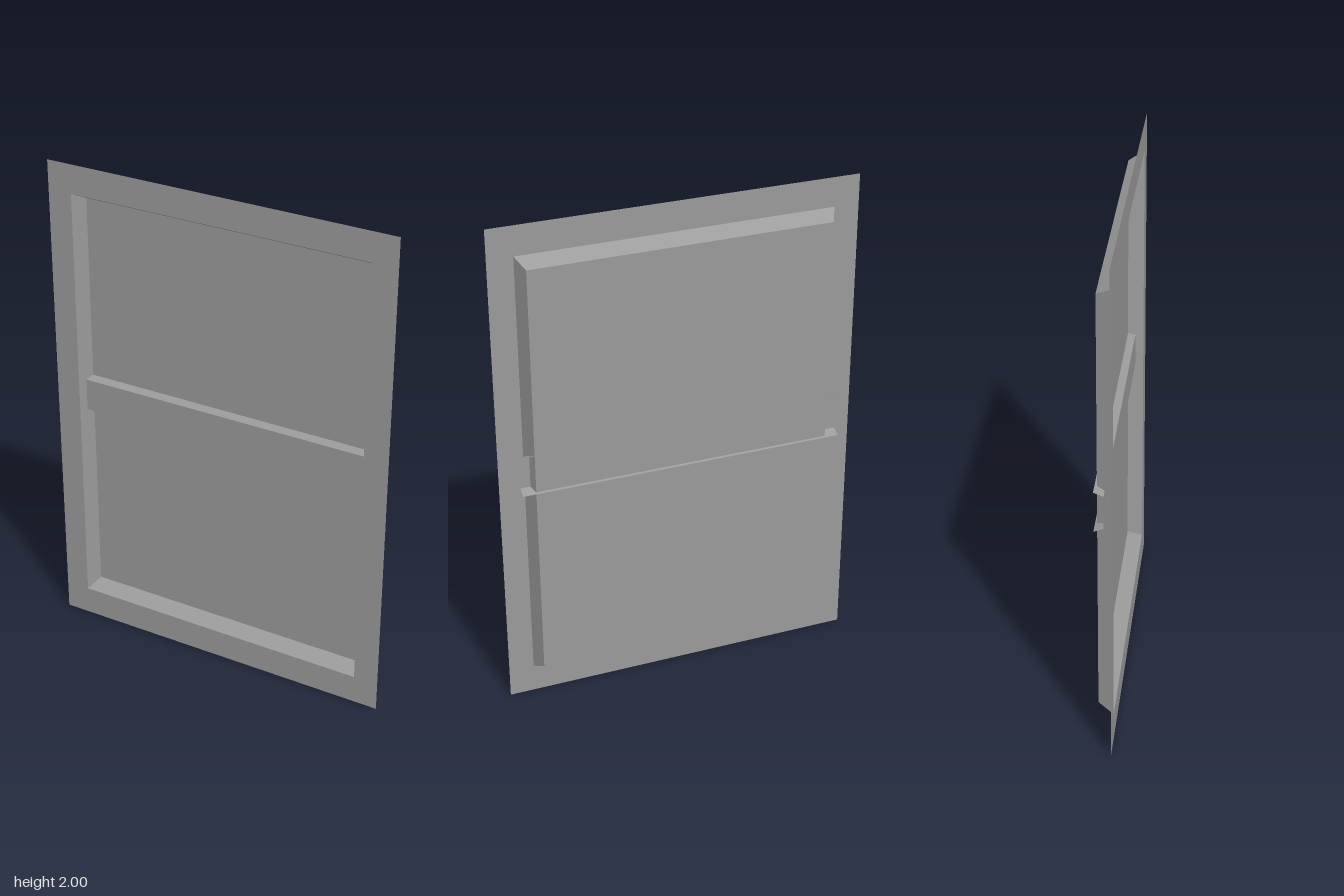
import * as THREE from 'three';

const Z_FRONT = 0.034, Z_PANEL = -0.026, Z_BAR = 0.003;

// Flat quad strip between two matching rows of points
function strip(rowA, rowB) {
  const pos = [];
  for (let i = 0; i < rowA.length - 1; i++) {
    const [a, b, c, d] = [rowA[i], rowA[i + 1], rowB[i + 1], rowB[i]];
    pos.push(...a, ...b, ...c, ...a, ...c, ...d);
  }
  const geo = new THREE.BufferGeometry();
  geo.setAttribute('position', new THREE.Float32BufferAttribute(pos, 3));
  geo.computeVertexNormals();
  return geo;
}

// Closed counter-clockwise rectangle around the panel centre (0, 1)
function ring(w, h, z) {
  return [[-1, -1], [1, -1], [1, 1], [-1, 1], [-1, -1]].map(([x, y]) => [x * w, 1 + y * h, z]);
}

export function createModel() {
  const group = new THREE.Group();
  const material = new THREE.MeshStandardMaterial({
    color: 0x9a9a9a, flatShading: true, side: THREE.DoubleSide,
  });
  const add = (name, geometry) => {
    const mesh = new THREE.Mesh(geometry, material);
    mesh.name = name;
    group.add(mesh);
    return mesh;
  };

  const outer = ring(0.713, 1, Z_FRONT);
  const rim = ring(0.614, 0.883, Z_FRONT);
  const inner = ring(0.587, 0.851, Z_PANEL);

  // Flat front border and the sloping sides of the recess
  add('frontBorder', strip(outer, rim));
  add('recessWalls', strip(rim, inner));

  // Recessed sheet
  add('backPanel', new THREE.PlaneGeometry(1.174, 1.702)).position.set(0, 1, Z_PANEL);

  // Cross bar: an open channel that runs through the side walls
  const profile = [[0.946, -0.034], [0.961, Z_BAR], [1.094, Z_BAR], [1.109, -0.034]];
  const end = (x) => profile.map(([y, z]) => [x, y, z]);
  add('crossBar', strip(end(0.64), end(-0.64)));

  return group;
}
